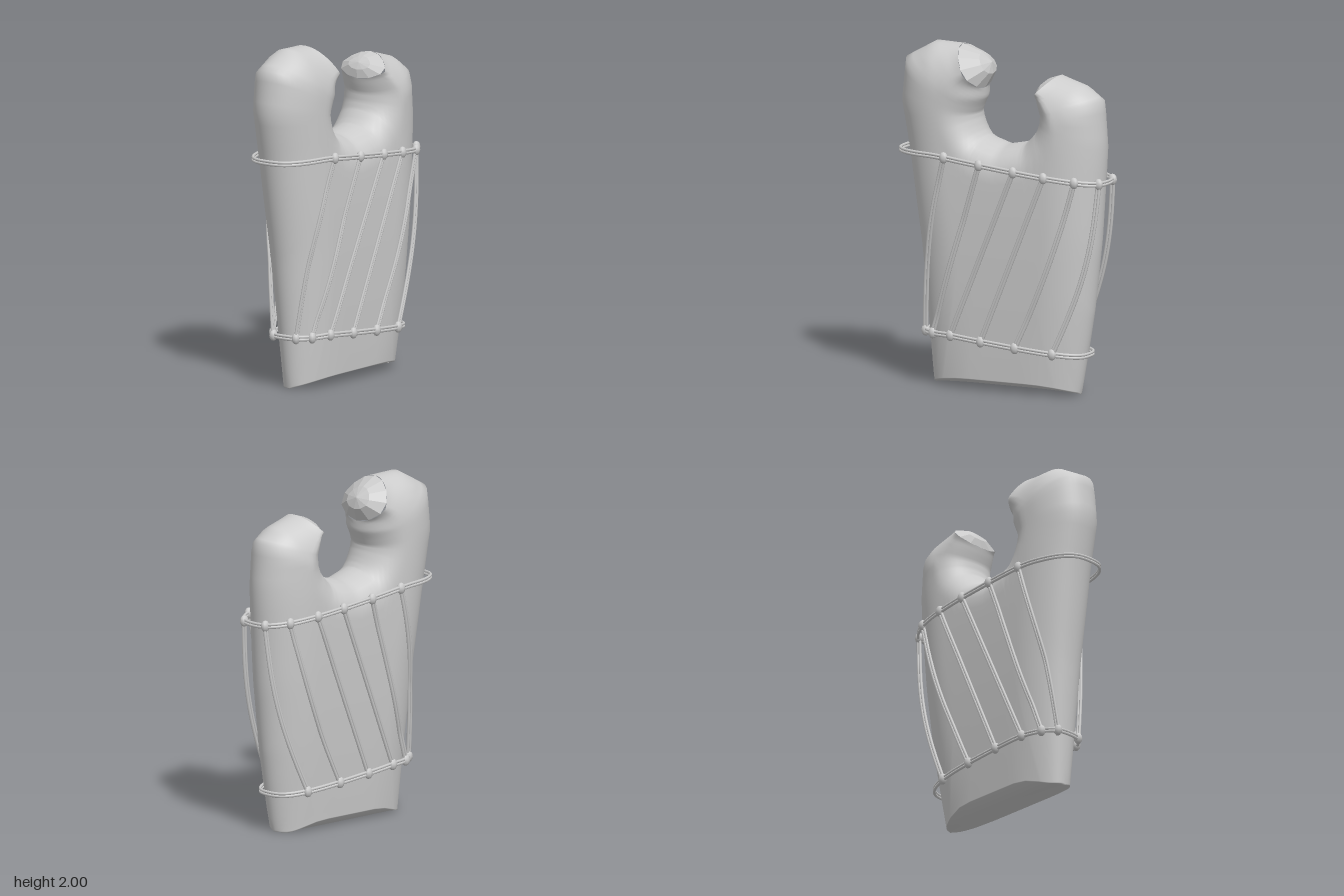
import * as THREE from 'three';
import { mergeVertices } from 'three/addons/utils/BufferGeometryUtils.js';

const mat = new THREE.MeshStandardMaterial({ color: 0xcccccc });
const faceted = new THREE.MeshStandardMaterial({ color: 0xcccccc, side: THREE.DoubleSide, flatShading: true });

// Ribs of the forked body: outer x, outer y, inner x, inner y
const ribs = [
  [-.29, 1.995, -.145, 1.75], [-.46, 2, -.147, 1.69], [-.64, 1.9, -.17, 1.64],
  [-.665, 1.65, -.185, 1.6], [-.61, 1.35, -.18, 1.57], [-.53, .8, -.165, 1.53],
  [-.49, .4, -.15, 1.5], [-.455, 0, -.13, 1.475],
  [-.42, 0, -.115, 1.467], [-.35, 0, -.09, 1.458], [0, 0, 0, 1.43],
  [.36, 0, .1, 1.45], [.44, 0, .13, 1.457], [.48, 0, .15, 1.465],
  [.53, .3, .175, 1.49], [.56, .5, .195, 1.515], [.6, .9, .215, 1.54],
  [.63, 1.45, .23, 1.58], [.61, 1.73, .235, 1.63], [.5, 1.81, .22, 1.68], [.335, 1.86, .21, 1.72],
];
const FIRST = 7, LAST = 13, SUB = 4, J = 24; // bottom edge runs from rib FIRST to rib LAST

const lerp = THREE.MathUtils.lerp;
const outer = ribs.map(r => [r[0], r[1]]);
const inner = ribs.map(r => [r[2], r[3]]);
// Outline edges with their rounding radius
const edges = [
  { line: outer.slice(0, FIRST + 1), radius: .28 },
  { line: outer.slice(LAST), radius: .28 },
  { line: inner, radius: .17 },
];

function distanceTo(line, x, y) {
  let best = Infinity;
  for (let i = 0; i + 1 < line.length; i++) {
    const [ax, ay] = line[i], dx = line[i + 1][0] - ax, dy = line[i + 1][1] - ay;
    const t = THREE.MathUtils.clamp(((x - ax) * dx + (y - ay) * dy) / (dx * dx + dy * dy), 0, 1);
    best = Math.min(best, Math.hypot(x - ax - t * dx, y - ay - t * dy));
  }
  return best;
}

// Half thickness, rounded off towards the outline, and its middle plane
function halfDepth(x, y) {
  const full = lerp(.145, .207, Math.sin(Math.min(y / 1.5, 1) * Math.PI / 2));
  const k = Math.max(0, ...edges.map(e => 1 - distanceTo(e.line, x, y) / e.radius));
  return full * Math.sqrt(1 - k * k);
}
const middle = y => lerp(.012, -.01, Math.min(y / 1.4, 1));

function indexed(points, index) {
  const g = new THREE.BufferGeometry().setFromPoints(points);
  g.setIndex(index);
  return g;
}

function add(group, name, geometry, material = mat) {
  const mesh = new THREE.Mesh(geometry, material);
  mesh.name = name;
  group.add(mesh);
  return mesh;
}

// Closed rings: front face from outer to inner edge, then back again behind
function bodyRings() {
  const rings = [];
  for (let s = 0; s <= (ribs.length - 1) * SUB; s++) {
    const i = Math.min(Math.floor(s / SUB), ribs.length - 2), u = s / SUB - i;
    const r = ribs[i].map((v, n) => lerp(v, ribs[i + 1][n], u));
    const onBottom = s >= FIRST * SUB && s <= LAST * SUB;
    const ring = [];
    for (const side of [1, -1]) {
      for (let n = 0; n <= J; n++) {
        const j = side > 0 ? n : J - n;
        const t = (1 - Math.cos(Math.PI * j / J)) / 2;
        const x = lerp(r[0], r[2], t), y = lerp(r[1], r[3], t);
        const z = middle(y) + side * (j === J || (j === 0 && !onBottom) ? 0 : halfDepth(x, y));
        const rise = .055 * ((z + .06) / (z > -.06 ? .21 : .075)) ** 2;
        ring.push(new THREE.Vector3(x, y + (onBottom ? rise * (1 - t) ** 8 : 0), z));
      }
    }
    rings.push(ring);
  }
  return rings;
}

// Quads between successive rows of w points
function stitch(index, start, rows, w) {
  for (let i = 0; i + 1 < rows; i++) {
    for (let k = 0; k + 1 < w; k++) {
      const a = start + i * w + k, b = a + w;
      index.push(a, b, b + 1, a, b + 1, a + 1);
    }
  }
}

function buildBody(group) {
  const rings = bodyRings(), w = rings[0].length;
  const points = rings.flat(), index = [];
  stitch(index, 0, rings.length, w);

  // Keeled underside
  const start = points.length;
  const bottom = rings.slice(FIRST * SUB, LAST * SUB + 1);
  for (const ring of bottom) {
    const front = ring[0], back = ring[w - 1];
    const at = (t, y) => new THREE.Vector3(front.x, y, lerp(front.z, back.z, t));
    points.push(back, at(.72, 0), at(.4, front.y * .33), front);
  }
  stitch(index, start, bottom.length, 4);

  const skin = mergeVertices(indexed(points, index), 1e-5);
  skin.computeVertexNormals();
  add(group, 'body', skin);

  // Faceted ends of the two horns
  hornEnd(group, 'rightHornEnd', rings[0], new THREE.Vector3(-.118, 1.895, -.04));
  hornEnd(group, 'leftHornEnd', rings[rings.length - 1], new THREE.Vector3(.232, 1.81, -.02));
}

function hornEnd(group, name, ring, tip) {
  const rim = ring.filter((p, k) => (k <= J ? k : k - J - 1) % 4 === 0);
  const centre = rim[0].clone().lerp(ring[J], .5);
  const out = tip.clone().sub(centre).multiplyScalar(.25);
  const mid = rim.map(p => p.clone().lerp(tip, .5).add(out));
  const n = rim.length, index = [];
  for (let i = 0; i < n; i++) {
    const j = (i + 1) % n;
    index.push(i, j, n + j, i, n + j, n + i, n + i, n + j, 2 * n);
  }
  const g = indexed([...rim, ...mid, tip], index).toNonIndexed();
  g.computeVertexNormals();
  add(group, name, g, faceted);
}

// Bands: rounded loops with a sloping height
const upper = { cx: -.005, a: .655, b: .232, n: 2.9, y: x => x < -.3 ? 1.365 : lerp(1.36, 1.258, (x + .3) / .95) };
const lower = { cx: .015, a: .515, b: .188, n: 3, y: x => x < -.28 ? .31 : lerp(.31, .235, (x + .28) / .81) };
const bandZ = (band, x) =>
  band.b * Math.max(0, 1 - Math.abs((x - band.cx) / band.a) ** band.n) ** (1 / band.n);

// Two strands side by side
function cord(group, name, points, closed, offset) {
  for (const s of [1, -1]) {
    const path = new THREE.CatmullRomCurve3(points.map(p => p.clone().addScaledVector(offset, s)), closed);
    add(group, name, new THREE.TubeGeometry(path, points.length * 2, .009, 6, closed));
  }
}

function buildBand(group, name, band) {
  const pts = [];
  for (let i = 0; i < 40; i++) {
    const t = i / 40 * Math.PI * 2, c = Math.cos(t), s = Math.sin(t), e = 2 / band.n;
    const x = band.cx + band.a * Math.sign(c) * Math.abs(c) ** e;
    pts.push(new THREE.Vector3(x, band.y(x), band.b * Math.sign(s) * Math.abs(s) ** e));
  }
  cord(group, name, pts, true, new THREE.Vector3(0, .008, 0));
}

function knot(group, p) {
  const mesh = add(group, 'knot', new THREE.SphereGeometry(1, 8, 6));
  mesh.scale.set(.028, .034, .022);
  mesh.position.copy(p);
}

// Slanting laces: top x, bottom x, sideways bow
const laces = [[-.3, -.485, -.035], [-.07, -.41, 0], [.15, -.28, 0], [.34, -.08, 0], [.52, .14, .03], [.635, .37, .06]];

function buildLaces(group) {
  for (const side of [1, -1]) {
    for (const [top, bottom, bow] of laces) {
      const y0 = upper.y(top), y1 = lower.y(bottom);
      const z0 = bandZ(upper, top), z1 = bandZ(lower, bottom);
      const pts = [];
      for (let i = 0; i <= 12; i++) {
        const t = i / 12, y = lerp(y0, y1, t);
        const x = lerp(top, bottom, t) + bow * Math.sin(Math.PI * t);
        const surface = halfDepth(x, y) + side * middle(y) + .008;
        const z = i % 12 ? Math.max(surface, lerp(z0, z1, t)) : lerp(z0, z1, t);
        pts.push(new THREE.Vector3(x, y, side * z));
      }
      cord(group, 'lace', pts, false, new THREE.Vector3(.008, 0, 0));
      knot(group, pts[0]);
      knot(group, pts[12]);
    }
  }
}

export function createModel() {
  const model = new THREE.Group();
  model.name = 'lacedForkedBlock';
  buildBody(model);
  buildBand(model, 'upperBand', upper);
  buildBand(model, 'lowerBand', lower);
  buildLaces(model);
  return model;
}
